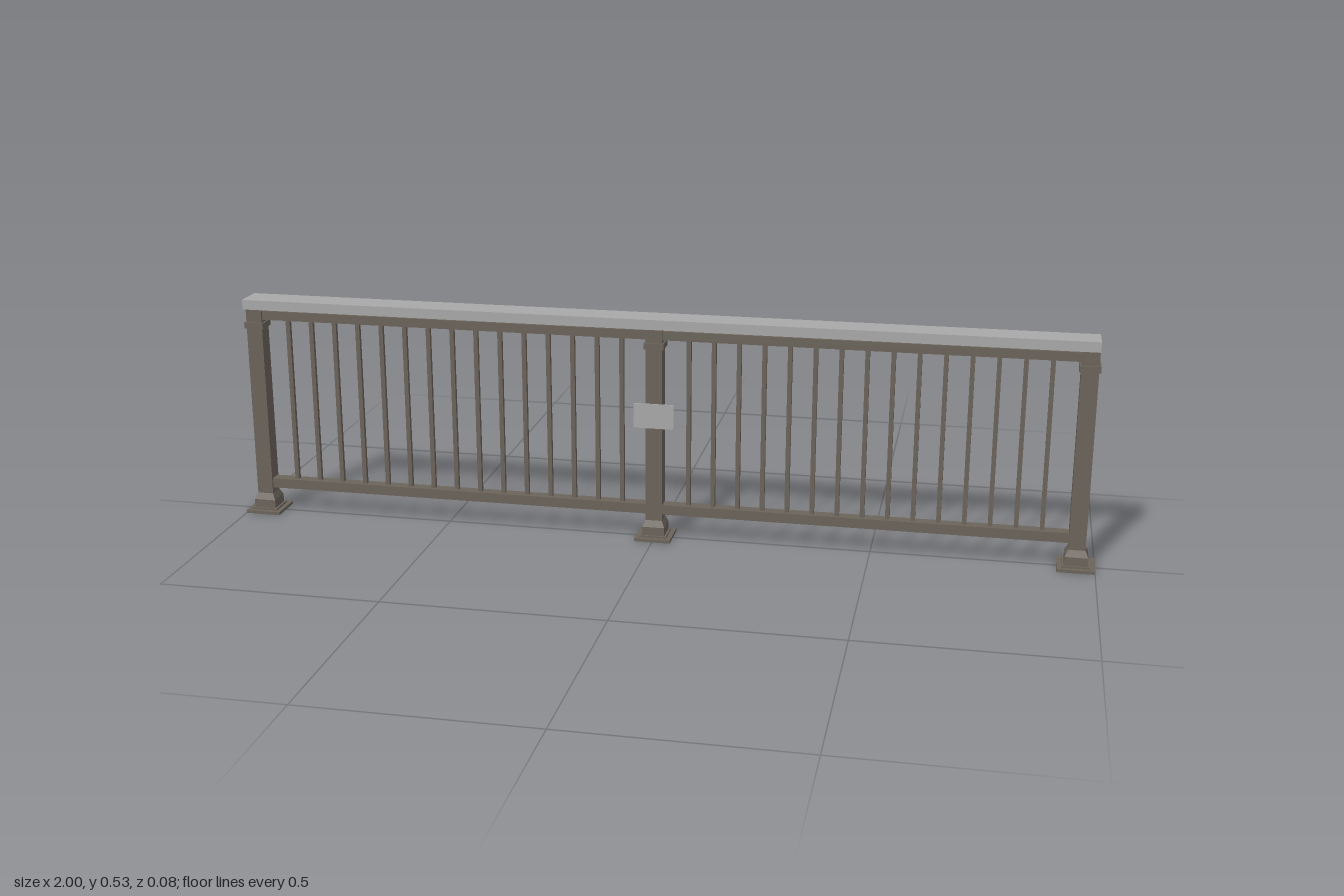
import * as THREE from 'three';

const bronze = new THREE.MeshStandardMaterial({ color: 0x6b645b });
bronze.name = 'bronze metal';
const grey = new THREE.MeshStandardMaterial({ color: 0xa9a9a9, side: THREE.DoubleSide });
grey.name = 'light grey';

// Box given by its full width and depth, and its bottom and top heights
function box(name, w, d, y0, y1, x = 0, z = 0, material = bronze) {
  const mesh = new THREE.Mesh(new THREE.BoxGeometry(w, y1 - y0, d), material);
  mesh.position.set(x, (y0 + y1) / 2, z);
  mesh.name = name;
  return mesh;
}

// Four-sided sloping skirt, open at top and bottom
function skirt(name, bottom, top, y0, y1) {
  const geo = new THREE.CylinderGeometry(top / Math.SQRT2, bottom / Math.SQRT2, y1 - y0, 4, 1, true)
    .rotateY(Math.PI / 4).toNonIndexed();
  geo.computeVertexNormals();
  const mesh = new THREE.Mesh(geo, bronze);
  mesh.position.y = (y0 + y1) / 2;
  mesh.name = name;
  return mesh;
}

function createPost(x) {
  const post = new THREE.Group();
  post.name = 'post';
  post.add(
    box('basePlate', 0.084, 0.084, 0, 0.007),
    box('baseStep', 0.062, 0.062, 0.007, 0.011),
    box('baseBlock', 0.052, 0.052, 0.011, 0.031),
    skirt('baseBevel', 0.052, 0.038, 0.031, 0.046),
    box('postShaft', 0.038, 0.038, 0.046, 0.505),
    box('postCollar', 0.046, 0.046, 0.456, 0.47),
  );
  post.position.x = x;
  return post;
}

// One bay between two posts: two rails and fifteen balusters
function createBay(side) {
  const bay = new THREE.Group();
  bay.name = side > 0 ? 'leftBay' : 'rightBay';
  const x = side * 0.479;
  bay.add(
    box('bottomRail', 0.922, 0.028, 0.06, 0.083, x),
    box('topRail', 0.922, 0.028, 0.477, 0.498, x),
  );
  for (let i = 0; i < 15; i++) {
    bay.add(box('baluster', 0.01, 0.01, 0.083, 0.477, x + (i - 7) * 0.0573 * side));
  }
  return bay;
}

// Handrail cover: a rectangular tube with open ends
function createHandrail() {
  const geo = new THREE.BoxGeometry(1.954, 0.023, 0.07);
  geo.setIndex(Array.from(geo.index.array).slice(12)); // drop the two end faces
  geo.clearGroups();
  const mesh = new THREE.Mesh(geo, grey);
  mesh.position.y = 0.5165;
  mesh.name = 'handrail';
  return mesh;
}

export function createModel() {
  const railing = new THREE.Group();
  railing.name = 'railing';
  for (const x of [-0.958, 0, 0.958]) railing.add(createPost(x));
  railing.add(createBay(-1), createBay(1), createHandrail());
  railing.add(box('plaque', 0.092, 0.003, 0.27, 0.328, 0, 0.0205, grey));
  return railing;
}
